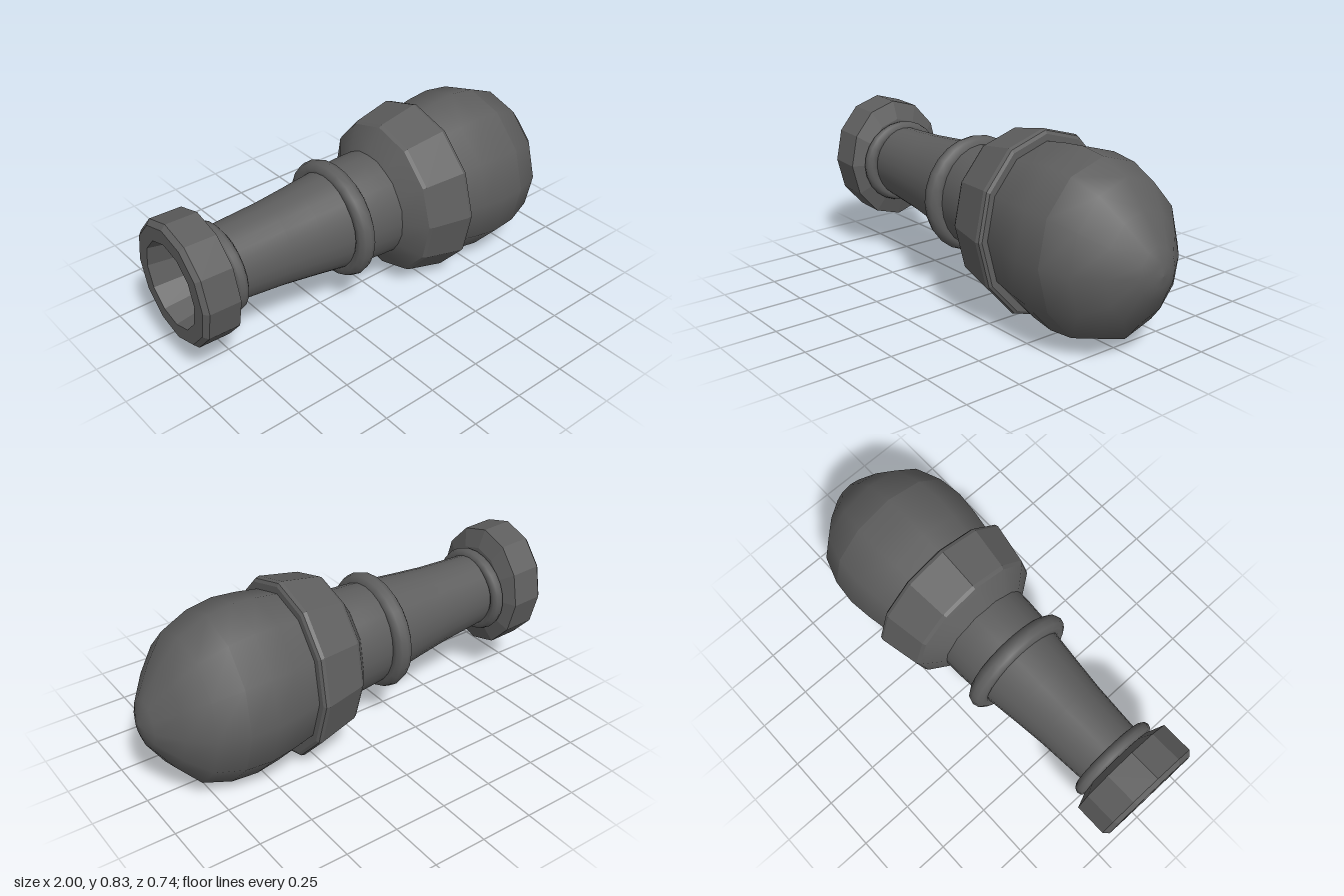
import * as THREE from 'three';

// Maps a lathe's axis (y) to the slightly sloping long axis along x;
// tilt leans the part's cross-sections
const SLOPE = 0.036;
function place(geometry, depthScale, tilt) {
  const m = new THREE.Matrix4().set(
    -tilt, 1, 0, 0,
    1, -SLOPE, 0, 0.431,
    0, 0, -depthScale, 0,
    0, 0, 0, 1);
  return geometry.applyMatrix4(m);
}

export function createModel() {
  const group = new THREE.Group();
  const color = 0x5e5e5e;
  const smooth = new THREE.MeshStandardMaterial({ color });
  const faceted = new THREE.MeshStandardMaterial({ color, flatShading: true });

  // Profile points are [radius, position along the axis]
  function turned(name, profile, sides, material, depthScale = 0.89, tilt = SLOPE) {
    const points = profile.map(([r, h]) => new THREE.Vector2(r, h));
    const mesh = new THREE.Mesh(place(new THREE.LatheGeometry(points, sides), depthScale, tilt), material);
    mesh.name = name;
    group.add(mesh);
  }

  // Upright rounded rings
  function ring(name, h, radius, tube, depthScale) {
    const geometry = new THREE.TorusGeometry(radius, tube, 10, 24).rotateX(Math.PI / 2).translate(0, h, 0);
    const mesh = new THREE.Mesh(place(geometry, depthScale, 0), smooth);
    mesh.name = name;
    group.add(mesh);
  }

  // End flange with its recessed bore
  turned('endFlange', [
    [0, -0.6], [0.15, -0.6], [0.16, -0.76], [0.2, -0.988], [0.268, -0.988],
    [0.29, -0.968], [0.29, -0.823], [0.205, -0.793], [0.165, -0.793],
  ], 12, faceted, 0.88);

  // Neck flaring toward the head
  turned('neck', [
    [0.17, -0.81], [0.174, -0.74], [0.191, -0.51], [0.209, -0.36],
    [0.229, -0.21], [0.243, -0.1], [0.249, -0.02], [0.251, 0.06],
  ], 24, smooth, 0.9, 0);
  ring('neckRing', -0.771, 0.17, 0.029, 1.06);
  ring('middleRing', -0.172, 0.228, 0.043, 1);

  // Collar: smooth shoulder, then a faceted band with a rim
  turned('collarShoulder', [[0.24, 0.035], [0.264, 0.045], [0.364, 0.11]], 12, smooth);
  turned('collarBand', [
    [0.364, 0.11], [0.374, 0.125], [0.416, 0.312], [0.411, 0.328], [0.397, 0.336], [0.355, 0.336],
  ], 12, faceted);

  // Rounded head: body and domed cap meeting at a crease
  turned('headBody', [[0.364, 0.325], [0.386, 0.44], [0.399, 0.55], [0.386, 0.67]], 12, smooth);
  turned('headCap', [
    [0.386, 0.67], [0.336, 0.8], [0.228, 0.893], [0.108, 0.972], [0.05, 0.992], [0, 1],
  ], 12, smooth);

  return group;
}
